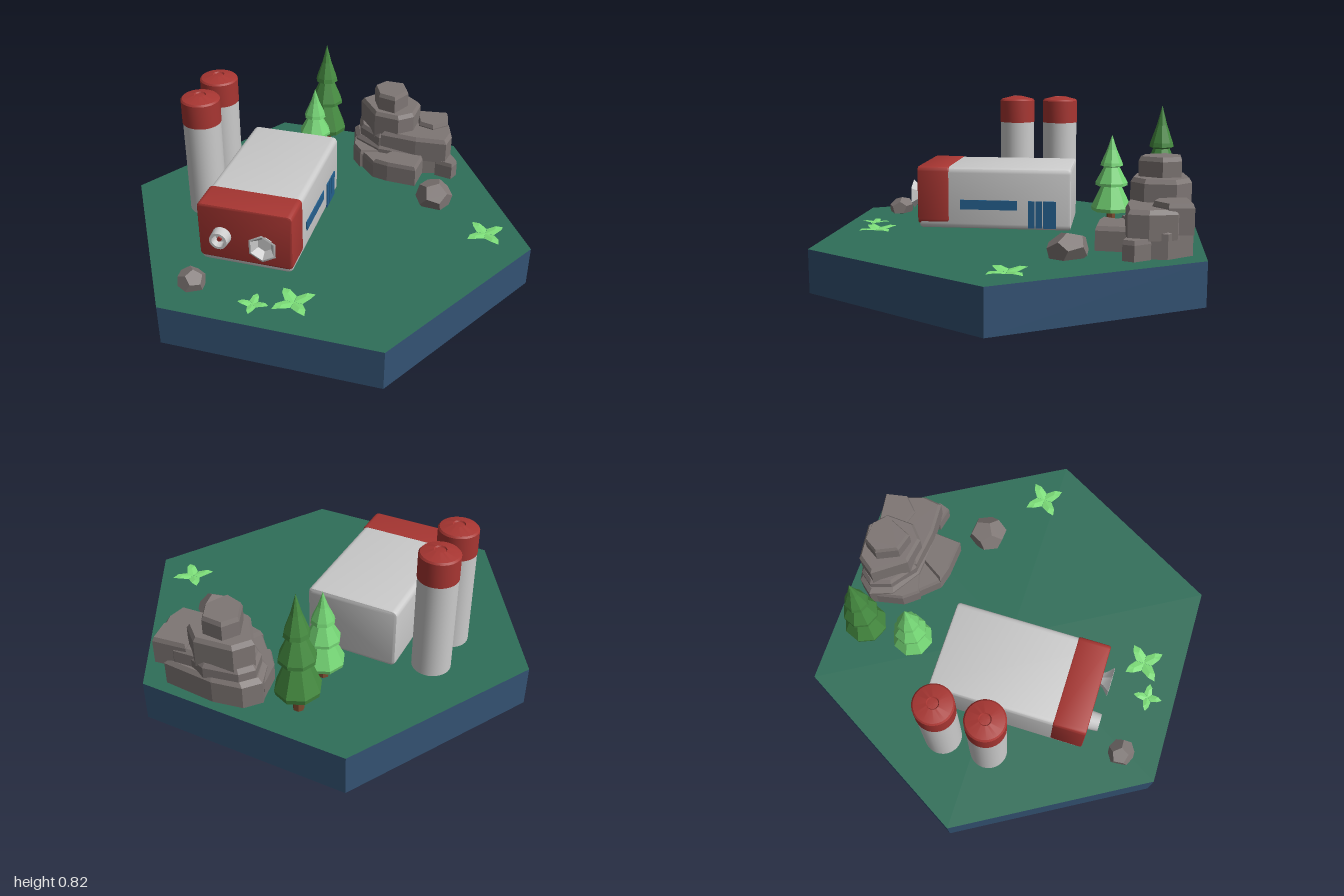
import * as THREE from 'three';
import { toCreasedNormals } from 'three/addons/utils/BufferGeometryUtils.js';
import { ConvexGeometry } from 'three/addons/geometries/ConvexGeometry.js';

const mat = (color, flatShading = false, side = THREE.FrontSide) =>
  new THREE.MeshStandardMaterial({ color, flatShading, side });
const GREY = mat(0xcccccc);
const RED = mat(0xa83632);
const BLUE = mat(0x24608f);
const ROCK = mat(0x7e7674, true);
const BARK = mat(0x7a4a2f, true);
const DARK_LEAF = mat(0x458a40, true);
const LIGHT_LEAF = mat(0x74d474, true);
const GRASS_LEAF = mat(0x7ee07a, true, THREE.DoubleSide);
const GROUND = 0.2;

function add(parent, name, geometry, material, x = 0, y = 0, z = 0) {
  const mesh = new THREE.Mesh(geometry, material);
  mesh.name = name;
  mesh.position.set(x, y, z);
  parent.add(mesh);
  return mesh;
}

function group(parent, name, x = 0, y = 0, z = 0) {
  const g = new THREE.Group();
  g.name = name;
  g.position.set(x, y, z);
  parent.add(g);
  return g;
}

const lathe = (points, sides) =>
  new THREE.LatheGeometry(points.map(([r, y]) => new THREE.Vector2(r, y)), sides);

// Rounded rectangle swept along z, with bevelled ends
function roundedBar(x0, x1, y0, y1, z0, z1, r, bevel) {
  const a = x0 + bevel, b = x1 - bevel, c = y0 + bevel, d = y1 - bevel;
  const s = new THREE.Shape();
  s.moveTo(a + r, c);
  s.lineTo(b - r, c);
  s.quadraticCurveTo(b, c, b, c + r);
  s.lineTo(b, d - r);
  s.quadraticCurveTo(b, d, b - r, d);
  s.lineTo(a + r, d);
  s.quadraticCurveTo(a, d, a, d - r);
  s.lineTo(a, c + r);
  s.quadraticCurveTo(a, c, a + r, c);
  const geo = new THREE.ExtrudeGeometry(s, {
    depth: z1 - z0 - 2 * bevel, bevelSize: bevel, bevelThickness: bevel, bevelSegments: 2, curveSegments: 4,
  });
  geo.translate(0, 0, z0 + bevel);
  return toCreasedNormals(geo, 0.6);
}

// Rock ledge: outline in x and z, raised from y0 to y1 with a chamfered top
function ledge(outline, y0, y1) {
  const n = outline.length;
  const cx = outline.reduce((s, p) => s + p[0], 0) / n;
  const cz = outline.reduce((s, p) => s + p[1], 0) / n;
  const ring = (k, y) => outline.map(([x, z]) => new THREE.Vector3(cx + (x - cx) * k, y, cz + (z - cz) * k));
  return new ConvexGeometry([...ring(1, y0), ...ring(1, y1 - 0.02), ...ring(0.91, y1)]);
}

function addBuilding(root) {
  const b = group(root, 'building');
  add(b, 'hall', roundedBar(-0.45, -0.01, GROUND, 0.503, -0.26, 0.485, 0.015, 0.013), GREY);
  add(b, 'frontCap', roundedBar(-0.453, -0.007, 0.222, 0.506, 0.335, 0.492, 0.015, 0.009), RED);

  // Window and glazed door on the left wall
  const panel = (name, z0, z1, y0, y1) =>
    add(b, name, new THREE.BoxGeometry(0.008, y1 - y0, z1 - z0), BLUE, -0.009, (y0 + y1) / 2, (z0 + z1) / 2);
  panel('window', 0.0, 0.28, 0.298, 0.345);
  [[-0.19, -0.126], [-0.122, -0.09], [-0.086, -0.054]].forEach(([z0, z1]) => panel('doorPane', z0, z1, 0.212, 0.345));

  // Nozzles on the front wall
  const round = lathe([[0.046, 0], [0.042, 0.052], [0.03, 0.052], [0.025, 0.015], [0, 0.015]], 20);
  round.rotateX(Math.PI / 2);
  add(b, 'roundNozzle', toCreasedNormals(round, 0.6), GREY, -0.34, 0.35, 0.488);
  const hub = new THREE.CylinderGeometry(0.011, 0.011, 0.025, 12).rotateX(Math.PI / 2);
  add(b, 'nozzleHub', hub, RED, -0.34, 0.35, 0.513);
  const hex = lathe([[0.03, 0], [0.04, 0.02], [0.072, 0.05], [0.062, 0.052], [0.035, 0.018], [0, 0.018]], 6);
  hex.rotateX(Math.PI / 2);
  add(b, 'hexNozzle', toCreasedNormals(hex, 0.4), GREY, -0.132, 0.35, 0.488);
}

function addSilo(root, x, z) {
  const s = group(root, 'silo', x, GROUND, z);
  add(s, 'siloBody', new THREE.CylinderGeometry(0.09, 0.09, 0.485, 32, 1, true), GREY, 0, 0.2425, 0);
  const cap = lathe([[0.09, 0.48], [0.092, 0.48], [0.092, 0.595], [0.085, 0.603], [0.028, 0.618], [0.024, 0.612], [0, 0.612]], 32);
  add(s, 'siloCap', toCreasedNormals(cap, 0.4), RED);
}

// Conifer with three stacked skirts; profile is [radius, height share]
function addTree(root, name, x, z, height, radius, material) {
  const t = group(root, name, x, GROUND, z);
  add(t, 'trunk', new THREE.CylinderGeometry(0.016, 0.026, height * 0.3, 7), BARK, 0, height * 0.15, 0);
  const profile = [[0, 0.22], [0.95, 0.17], [1, 0.21], [0.52, 0.43], [0.45, 0.46], [0.8, 0.45], [0.8, 0.48],
    [0.38, 0.65], [0.56, 0.665], [0.52, 0.7], [0.24, 0.84], [0, 1]];
  add(t, 'foliage', lathe(profile.map(([r, y]) => [r * radius, y * height]), 8), material);
}

function addOutcrop(root) {
  const o = group(root, 'rockOutcrop');
  const ledges = [
    [[[-0.04, -0.73], [0.02, -0.8], [0.16, -0.825], [0.41, -0.81], [0.5, -0.7], [0.5, -0.56], [0.35, -0.52], [0.14, -0.53], [0.0, -0.62]], 0.2, 0.33],
    [[[-0.03, -0.7], [-0.005, -0.57], [0.05, -0.5], [0.16, -0.53], [0.18, -0.66]], 0.2, 0.3],
    [[[0.02, -0.55], [0.14, -0.42], [0.25, -0.5], [0.24, -0.56]], 0.2, 0.29],
    [[[0.14, -0.42], [0.22, -0.4], [0.37, -0.39], [0.385, -0.54], [0.23, -0.56]], 0.2, 0.31],
    [[[0.1, -0.78], [0.36, -0.8], [0.48, -0.74], [0.515, -0.62], [0.5, -0.53], [0.34, -0.52], [0.15, -0.54]], 0.28, 0.41],
    [[[0.3, -0.79], [0.46, -0.81], [0.48, -0.7], [0.41, -0.635], [0.33, -0.66]], 0.3, 0.435],
    [[[0.44, -0.6], [0.51, -0.63], [0.56, -0.56], [0.54, -0.51], [0.45, -0.53]], 0.2, 0.29],
    [[[-0.01, -0.73], [0.04, -0.79], [0.2, -0.82], [0.34, -0.77], [0.34, -0.62], [0.27, -0.55], [0.14, -0.54], [0.02, -0.63]], 0.3, 0.39],
    [[[0.0, -0.71], [0.06, -0.79], [0.24, -0.81], [0.32, -0.74], [0.31, -0.6], [0.24, -0.54], [0.11, -0.56]], 0.36, 0.51],
    [[[0.075, -0.7], [0.12, -0.77], [0.22, -0.765], [0.26, -0.68], [0.21, -0.575], [0.12, -0.6]], 0.48, 0.6],
  ];
  ledges.forEach(([outline, y0, y1]) => add(o, 'rockLedge', ledge(outline, y0, y1), ROCK));
}

function addBoulder(root, x, z, sx, sy, sz, turn) {
  const r = add(root, 'boulder', new THREE.DodecahedronGeometry(1), ROCK, x, GROUND + sy * 0.45, z);
  r.scale.set(sx, sy, sz);
  r.rotation.set(0.2, turn, 0.1);
}

// Four folded, pointed leaves around a centre
function addPlant(root, x, z, size, turn) {
  const p = group(root, 'groundPlant', x, GROUND + 0.003, z);
  p.rotation.y = turn;
  const leaf = new THREE.BufferGeometry();
  leaf.setAttribute('position', new THREE.Float32BufferAttribute([
    0, 0.002, 0, 0.28, 0.01, 0.27, 0.55, 0.09, 0, 0.28, 0.01, -0.27, 0.72, 0.08, 0.19, 0.72, 0.08, -0.19, 1, 0.04, 0,
  ].map((v) => v * size), 3));
  leaf.setIndex([0, 1, 2, 0, 2, 3, 1, 4, 2, 2, 5, 3, 4, 6, 2, 2, 6, 5]);
  leaf.computeVertexNormals();
  for (let i = 0; i < 4; i++) add(p, 'leaf', leaf, GRASS_LEAF).rotation.y = i * Math.PI / 2;
}

export function createModel() {
  const root = new THREE.Group();
  root.name = 'outpostTile';

  // Hexagonal tile: blue sides and underside, green top
  const blue = mat(0x345374, true);
  add(root, 'tile', new THREE.CylinderGeometry(1, 1, GROUND, 6, 1, false, Math.PI / 2),
    [blue, mat(0x2f6f59, true), blue], 0, GROUND / 2, 0);

  addBuilding(root);
  [-0.16, 0.07].forEach((z) => addSilo(root, -0.588, z));
  addTree(root, 'darkTree', -0.19, -0.69, 0.6, 0.105, DARK_LEAF);
  addTree(root, 'lightTree', -0.185, -0.45, 0.455, 0.1, LIGHT_LEAF);
  addOutcrop(root);
  addBoulder(root, 0.49, -0.28, 0.092, 0.075, 0.1, 0.5);
  addBoulder(root, -0.415, 0.68, 0.065, 0.055, 0.07, 1.1);
  addPlant(root, 0.78, -0.06, 0.105, 0.75);
  addPlant(root, 0.055, 0.675, 0.105, 0.75);
  addPlant(root, -0.11, 0.735, 0.07, 0.05);
  return root;
}
